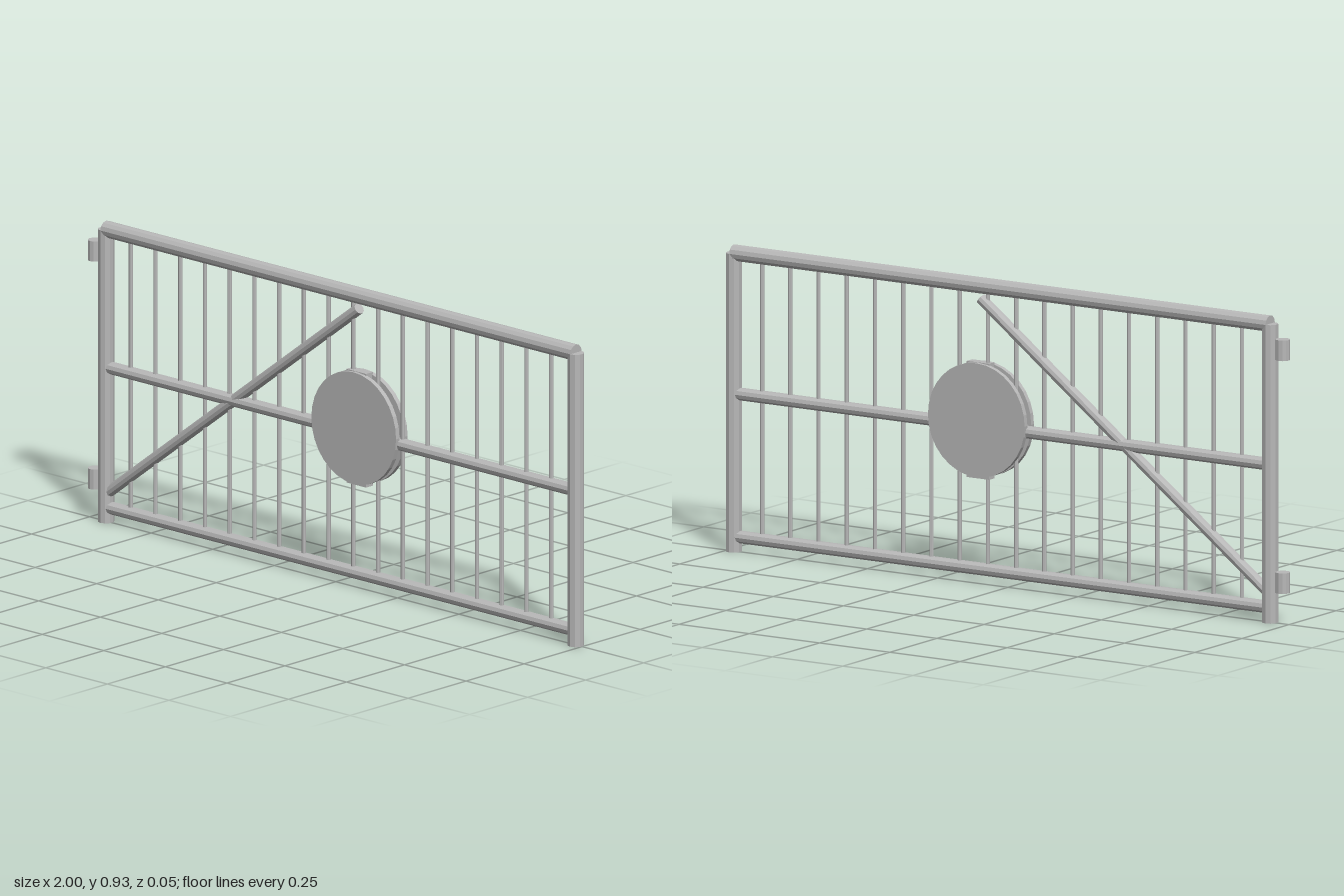
import * as THREE from 'three';

export function createModel() {
  const gate = new THREE.Group();
  gate.name = 'gate';
  const steel = new THREE.MeshStandardMaterial({ color: 0xb8b8b8, flatShading: true });
  steel.name = 'galvanised steel';

  const add = (name, geometry, x = 0, y = 0, z = 0) => {
    const mesh = new THREE.Mesh(geometry, steel);
    mesh.name = name;
    mesh.position.set(x, y, z);
    gate.add(mesh);
    return mesh;
  };

  // Round bar between two points in the plane of the gate
  const bar = (name, x1, y1, x2, y2, radius, sides = 10) => {
    const a = new THREE.Vector3(x1, y1, 0);
    const b = new THREE.Vector3(x2, y2, 0);
    const mesh = add(name, new THREE.CylinderGeometry(radius, radius, a.distanceTo(b), sides),
      (x1 + x2) / 2, (y1 + y2) / 2);
    mesh.quaternion.setFromUnitVectors(new THREE.Vector3(0, 1, 0), b.sub(a).normalize());
    return mesh;
  };

  const left = -0.933, right = 0.975;

  // Frame
  bar('hingePost', left, 0, left, 0.9, 0.025);
  bar('latchPost', right, 0, right, 0.9, 0.025);
  bar('topRail', left, 0.9, right, 0.9, 0.025, 12);
  bar('middleRail', left, 0.476, right, 0.476, 0.019);
  bar('bottomRail', left, 0.045, right, 0.045, 0.019);
  bar('diagonalBrace', -0.925, 0.09, 0.095, 0.86, 0.017);

  // Evenly spaced infill bars
  const gaps = 19;
  for (let i = 1; i < gaps; i++) {
    const x = left + (right - left) * i / gaps;
    bar('infillBar', x, 0.045, x, 0.89, 0.0065, 8);
  }

  // Hinge barrels beside the post
  for (const y of [0.125, 0.827]) bar('hinge', -0.978, y - 0.031, -0.978, y + 0.031, 0.022, 12);

  // Round plates on both faces with a block between them
  for (const z of [-0.0175, 0.0175]) {
    const plate = add('roundPlate', new THREE.CylinderGeometry(0.172, 0.172, 0.015, 32), 0.096, 0.497, z);
    plate.rotation.x = Math.PI / 2;
  }
  add('lockBlock', new THREE.BoxGeometry(0.08, 0.35, 0.03), 0.097, 0.495);

  return gate;
}
